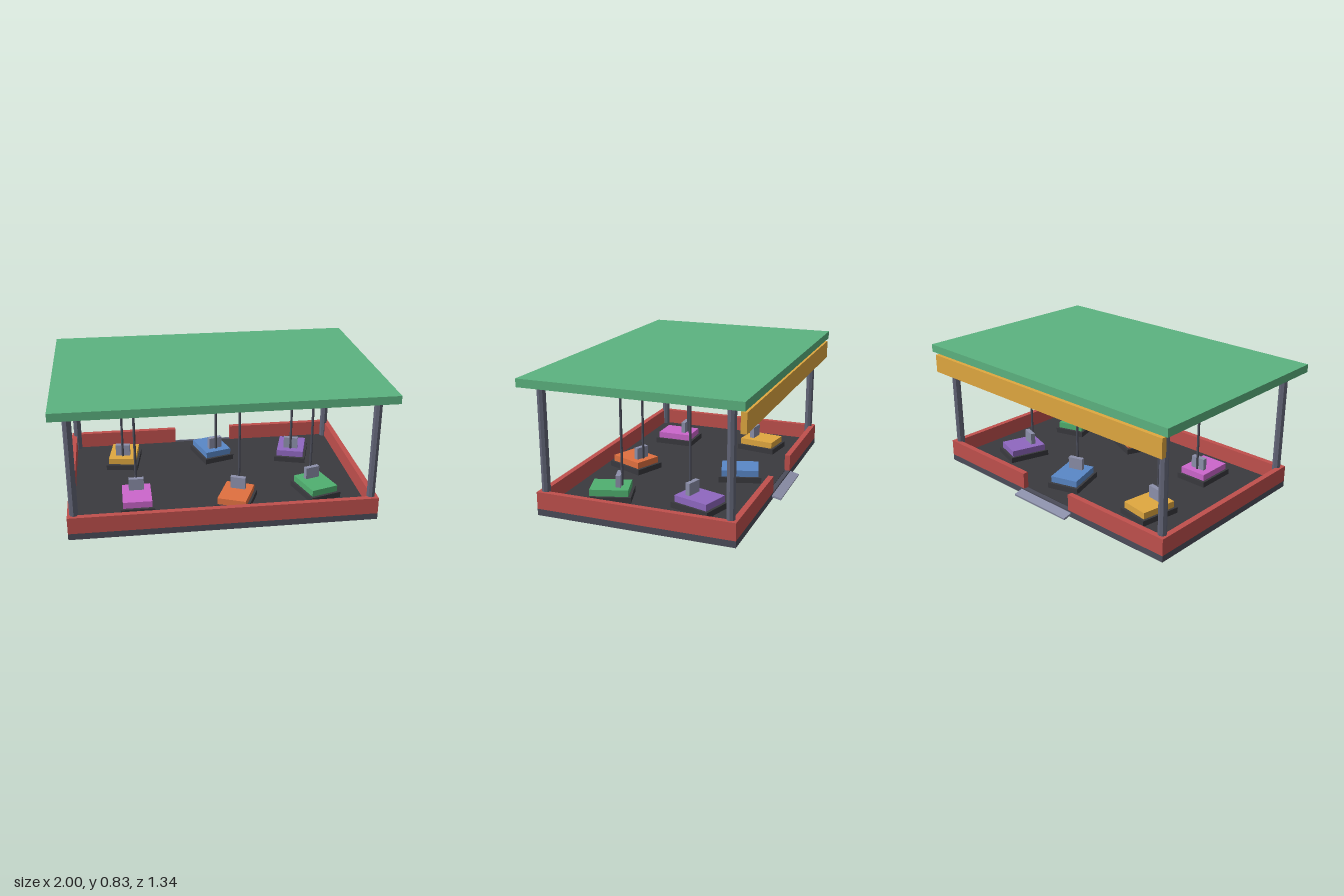
import * as THREE from 'three';

const mat = (color) => new THREE.MeshStandardMaterial({ color, flatShading: true });
const M = {
  steel: mat(0x626577), dark: mat(0x3a3a3f), base: mat(0x4b4d5a), red: mat(0xc0504d),
  roof: mat(0x5cb380), sign: mat(0xe0a840), lamp: mat(0xb8c8d4), seat: mat(0x8c90aa),
};

function add(parent, name, geometry, material, x, y, z) {
  const mesh = new THREE.Mesh(geometry, material);
  mesh.name = name;
  mesh.position.set(x, y, z);
  parent.add(mesh);
  return mesh;
}
const box = (parent, name, material, w, h, d, x, y, z) =>
  add(parent, name, new THREE.BoxGeometry(w, h, d), material, x, y, z);

// A small car; its origin is the foot of the power pole, and it heads along local +z
function makeCar(color, x, z, angle) {
  const car = new THREE.Group();
  car.name = 'car';
  car.position.set(x, 0, z);
  car.rotation.y = angle;
  box(car, 'bumper', M.dark, 0.21, 0.036, 0.27, 0, 0.062, 0.07);
  box(car, 'carBody', mat(color), 0.18, 0.042, 0.235, 0, 0.1, 0.07);
  box(car, 'seatBack', M.seat, 0.095, 0.08, 0.03, 0, 0.157, 0.018);
  add(car, 'powerPole', new THREE.CylinderGeometry(0.008, 0.008, 0.64, 8), M.base, 0, 0.44, 0);
  box(car, 'contactPlate', M.dark, 0.048, 0.013, 0.048, 0, 0.764, 0);
  return car;
}

export function createModel() {
  const g = new THREE.Group();
  g.name = 'carRidePavilion';

  // Platform and driving floor
  box(g, 'platform', M.base, 1.88, 0.04, 1.22, 0, 0.02, 0);
  box(g, 'drivingFloor', M.dark, 1.81, 0.004, 1.16, 0, 0.041, 0);

  // Low walls, with an entrance gap in the back one
  const t = 0.035, h = 0.105, wy = 0.0925;
  box(g, 'frontWall', M.red, 1.88, h, t, 0, wy, 0.61 - t / 2);
  for (const s of [-1, 1]) {
    box(g, 'sideWall', M.red, t, h, 1.22 - 2 * t, s * (0.94 - t / 2), wy, 0);
    box(g, 'backWall', M.red, 0.74, h, t, s * 0.57, wy, -0.61 + t / 2);
  }
  const ramp = box(g, 'entranceRamp', M.seat, 0.45, 0.013, 0.07, 0, 0.018, -0.633);
  ramp.rotation.x = -0.24;

  // Corner posts and roof
  for (const x of [-0.9, 0.9])
    for (const z of [-0.567, 0.567])
      add(g, 'post', new THREE.CylinderGeometry(0.026, 0.026, 0.745, 8), M.steel, x, 0.4125, z);
  box(g, 'roof', M.roof, 2, 0.05, 1.333, 0, 0.81, 0);

  // Power rails under the roof
  for (let i = -2; i <= 2; i++)
    box(g, 'ceilingRail', M.dark, 1.8, 0.015, 0.016, 0, 0.7775, i * 0.218);

  // Sign board with a row of lamps on its inner side
  box(g, 'signBoard', M.sign, 1.93, 0.117, 0.034, 0, 0.712, -0.65);
  for (let i = -5; i <= 5; i++)
    box(g, 'signLamp', M.lamp, 0.034, 0.034, 0.014, i * 0.1665, 0.711, -0.628);

  // Cars: colour, pole x, pole z, heading
  const cars = [
    [0xcc66cc, -0.52, 0.235, 0],
    [0xe07040, 0.125, 0.3, -0.4],
    [0x50b070, 0.605, 0.22, 0.3],
    [0x8f68c0, 0.57, -0.205, Math.PI - 0.3],
    [0xe0a840, -0.59, -0.235, Math.PI - 0.15],
    [0x5a88c8, 0.055, -0.275, Math.PI + 0.3],
  ];
  for (const c of cars) g.add(makeCar(...c));
  return g;
}
